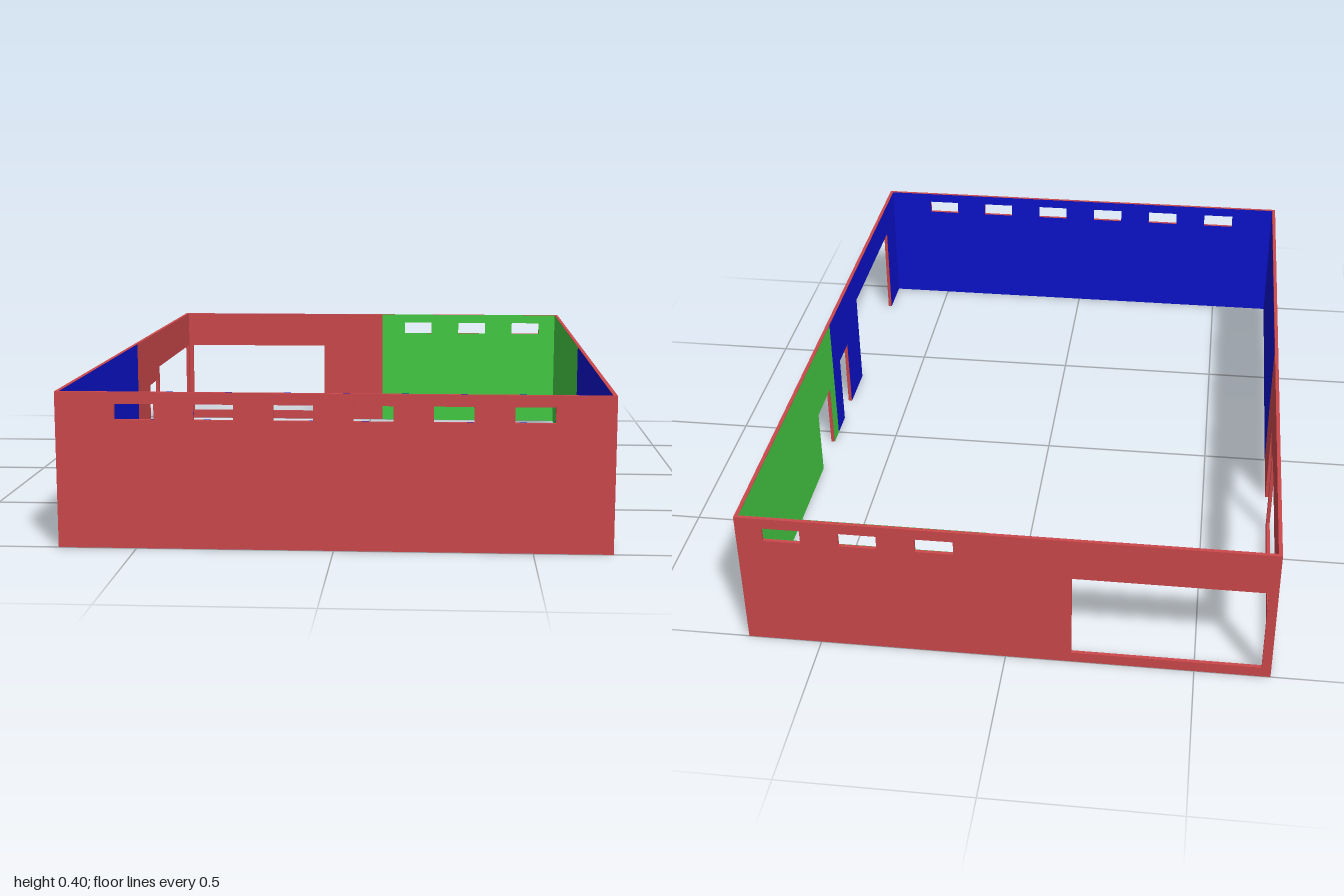
import * as THREE from 'three';

const RED = 0xcc484b, BLUE = 0x0c12cc, GREEN = 0x44cc44;
const HEIGHT = 0.4, THICK = 0.01;

// Wall outline from a to b; openings [u0, u1, y0, y1] touching the floor become notches, others holes.
function wallShape(a, b, openings) {
  const inside = openings.filter(([u0, u1]) => u0 > a && u1 < b).sort((p, q) => p[0] - q[0]);
  const shape = new THREE.Shape();
  shape.moveTo(a, 0);
  for (const [u0, u1, y0, y1] of inside) {
    if (y0 > 0) {
      const hole = new THREE.Path();
      hole.moveTo(u0, y0).lineTo(u0, y1).lineTo(u1, y1).lineTo(u1, y0).closePath();
      shape.holes.push(hole);
    } else {
      shape.lineTo(u0, 0).lineTo(u0, y1).lineTo(u1, y1).lineTo(u1, 0);
    }
  }
  shape.lineTo(b, 0).lineTo(b, HEIGHT).lineTo(a, HEIGHT).closePath();
  return shape;
}

// Local +z points out of the building; linings are thin painted sheets on the inner face.
function makeWall(name, half, distance, angle, openings, linings) {
  const wall = new THREE.Group();
  wall.name = name;
  const geometry = new THREE.ExtrudeGeometry(wallShape(-half, half, openings), { depth: THICK, bevelEnabled: false });
  const body = new THREE.Mesh(geometry, new THREE.MeshStandardMaterial({ color: RED }));
  body.name = name + 'Body';
  body.position.z = -THICK;
  wall.add(body);
  for (const [a, b, color] of linings) {
    const lining = new THREE.Mesh(
      new THREE.ShapeGeometry(wallShape(a, b, openings)),
      new THREE.MeshStandardMaterial({ color, side: THREE.DoubleSide })
    );
    lining.name = name + 'InnerPaint';
    lining.position.z = -THICK - 0.001;
    wall.add(lining);
  }
  wall.rotation.y = angle;
  wall.position.set(Math.sin(angle) * distance, 0, Math.cos(angle) * distance);
  return wall;
}

export function createModel() {
  const model = new THREE.Group();
  model.name = 'buildingWalls';
  const slots = starts => starts.map(u => [u, u + 0.1, 0.33, 0.37]);
  const side = 1 - THICK, end = 0.7 - THICK;

  // Front wall: six high slot windows, blue inside
  model.add(makeWall('frontWall', 0.7, 1, 0,
    slots([-0.55, -0.35, -0.15, 0.05, 0.25, 0.45]),
    [[-end, end, BLUE]]));

  // Back wall (u = -x): three slot windows and one large window
  model.add(makeWall('backWall', 0.7, 1, Math.PI,
    [...slots([-0.63, -0.43, -0.23]), [0.175, 0.675, 0.03, 0.28]],
    [[-end, -0.045, GREEN]]));

  // Right-hand wall of the plan at +x (u = -z): gate and two doorways
  model.add(makeWall('gateWall', side, 0.7, Math.PI / 2,
    [[-0.85, -0.35, 0, 0.3], [-0.19, -0.085, 0, 0.22], [0.057, 0.207, 0, 0.2]],
    [[-side, 0, BLUE], [0, side, GREEN]]));

  // Opposite wall at -x (u = z): large window and doorway
  model.add(makeWall('windowWall', side, 0.7, -Math.PI / 2,
    [[-0.975, -0.372, 0.03, 0.28], [-0.35, -0.2, 0, 0.24]],
    [[0, side, BLUE]]));

  return model;
}
